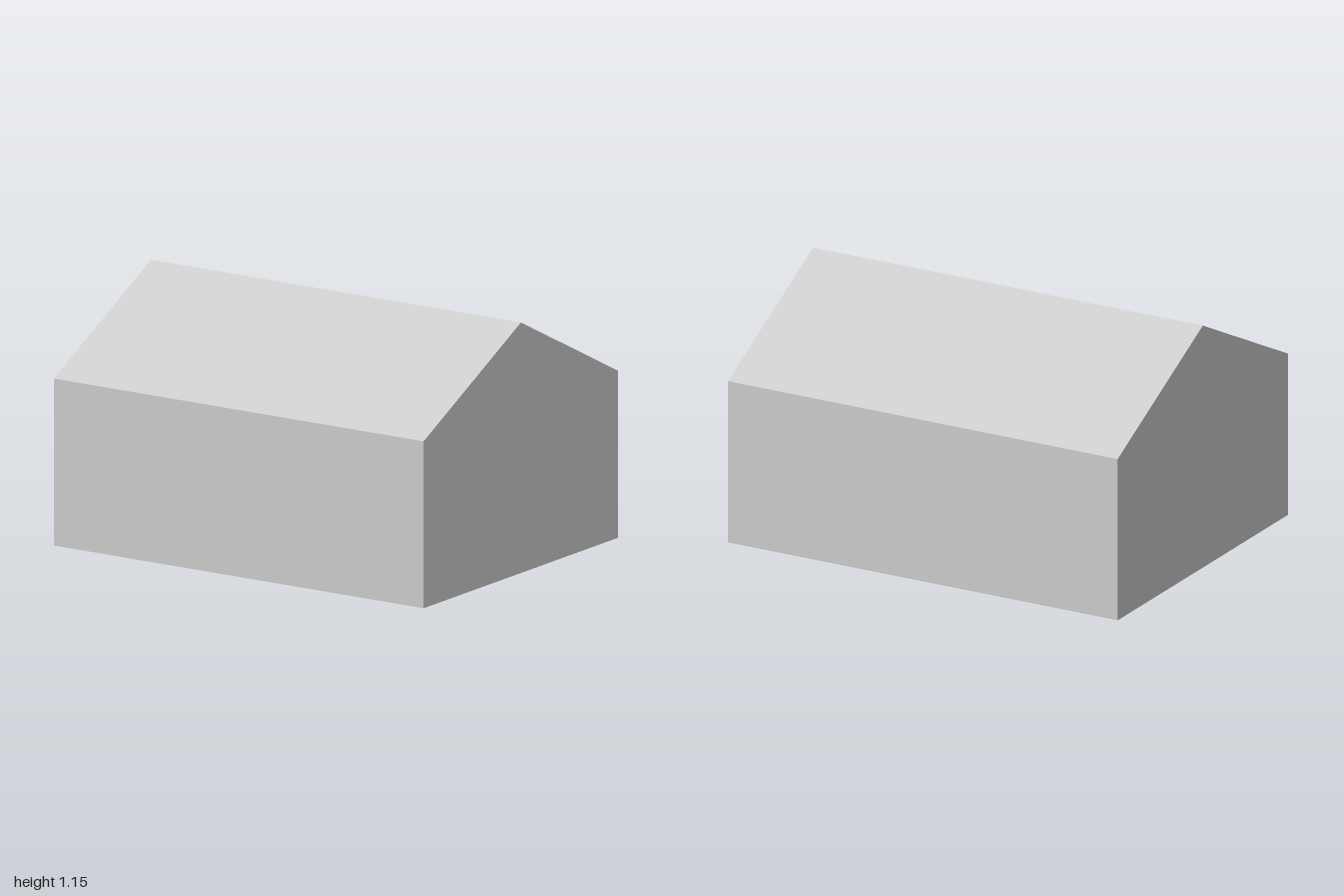
import * as THREE from 'three';

const LENGTH = 2;
const HALF_DEPTH = 0.769;
const EAVES = 0.769;
const RIDGE = 1.154;

export function createModel() {
  const model = new THREE.Group();
  model.name = 'gabledHouse';

  // Gable outline: walls up to the eaves, then two roof slopes meeting at the ridge
  const gable = new THREE.Shape([
    new THREE.Vector2(-HALF_DEPTH, 0),
    new THREE.Vector2(HALF_DEPTH, 0),
    new THREE.Vector2(HALF_DEPTH, EAVES),
    new THREE.Vector2(0, RIDGE),
    new THREE.Vector2(-HALF_DEPTH, EAVES),
  ]);

  // Solid house body, with the ridge running along x
  const geometry = new THREE.ExtrudeGeometry(gable, { depth: LENGTH, bevelEnabled: false });
  geometry.translate(0, 0, -LENGTH / 2);
  geometry.rotateY(Math.PI / 2);

  const material = new THREE.MeshStandardMaterial({ color: 0xcccccc, flatShading: true });
  const body = new THREE.Mesh(geometry, material);
  body.name = 'houseBody';
  model.add(body);

  return model;
}
